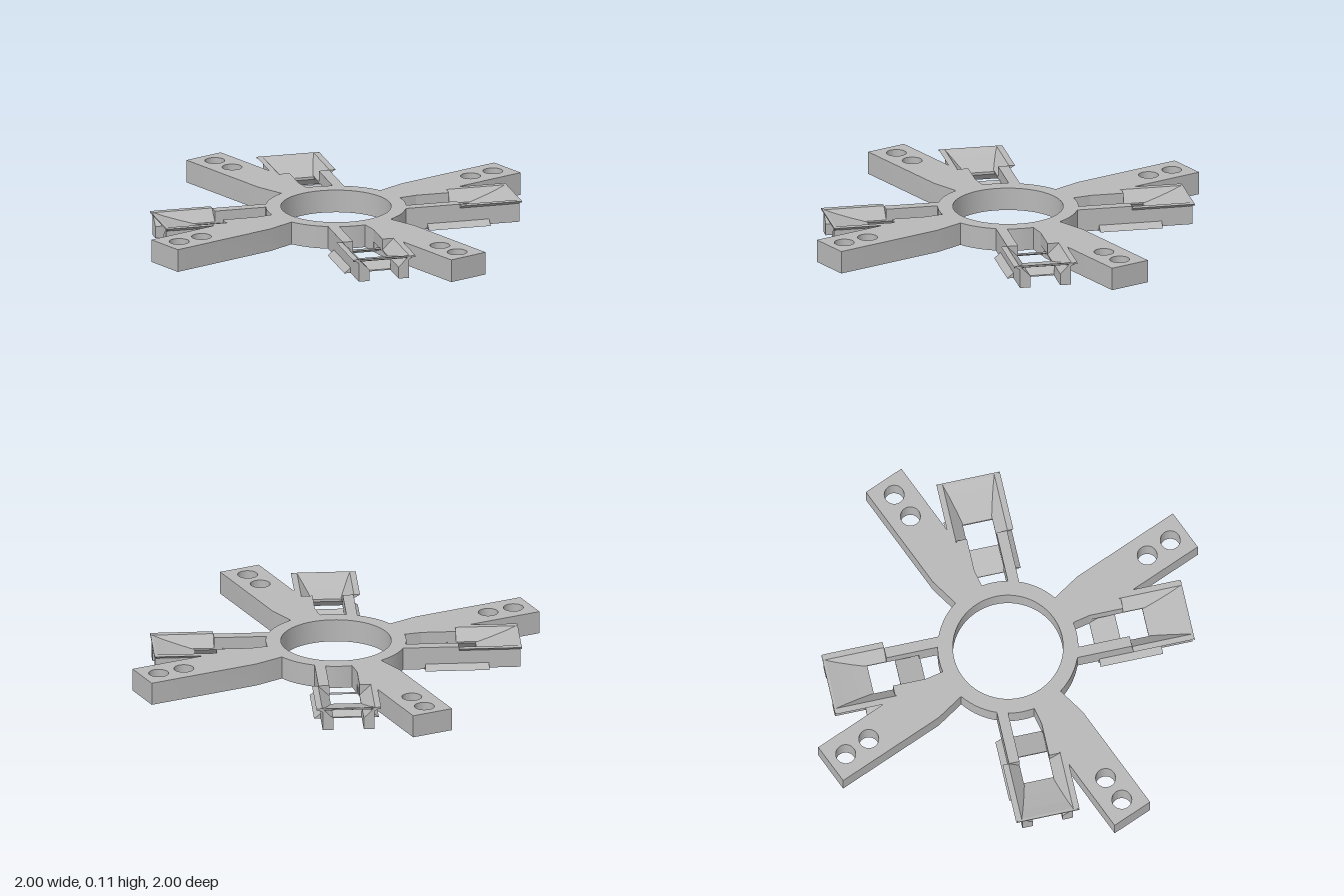
import * as THREE from 'three';
import { toCreasedNormals } from 'three/addons/utils/BufferGeometryUtils.js';

const H = 0.107;

// Upright plate from a flat shape
function plate(shape) {
  const g = new THREE.ExtrudeGeometry(shape, { depth: H, bevelEnabled: false, curveSegments: 40 });
  g.rotateX(-Math.PI / 2);
  return toCreasedNormals(g, 0.5);
}

// Solid through cross-sections { u, pts: [[v, y], ...] } along x, with capped ends
function loft(sections) {
  const pos = [];
  const put = (s, p) => pos.push(s.u, p[1], p[0]);
  for (let k = 0; k + 1 < sections.length; k++) {
    const s = sections[k], t = sections[k + 1], n = s.pts.length;
    for (let i = 0; i < n; i++) {
      const j = (i + 1) % n;
      put(s, s.pts[i]); put(s, s.pts[j]); put(t, t.pts[j]);
      put(s, s.pts[i]); put(t, t.pts[j]); put(t, t.pts[i]);
    }
  }
  const cap = (s, wantPositive) => {
    const contour = s.pts.map(p => new THREE.Vector2(p[0], p[1]));
    for (const [a, b, c] of THREE.ShapeUtils.triangulateShape(contour, [])) {
      const positive = THREE.ShapeUtils.area([contour[a], contour[b], contour[c]]) > 0;
      const order = positive === wantPositive ? [a, b, c] : [a, c, b];
      order.forEach(i => put(s, s.pts[i]));
    }
  };
  cap(sections[0], true);
  cap(sections[sections.length - 1], false);
  const g = new THREE.BufferGeometry();
  g.setAttribute('position', new THREE.Float32BufferAttribute(pos, 3));
  g.computeVertexNormals();
  return g;
}

// Rail cross-section; the top and bottom flare outward where the funnels open
function railSection(u, top, bottom, side) {
  const pts = [
    [0.07, 0.055],
    [top ? 0.122 : 0.07, H],
    [top ? 0.15 : 0.12, H],
    [0.12, 0.088],
    [0.12, 0.025],
    [bottom ? 0.15 : 0.12, 0],
    [bottom ? 0.13 : 0.07, 0],
    [0.07, 0.048],
  ];
  return { u, pts: side > 0 ? pts : pts.map(([v, y]) => [-v, y]).reverse() };
}

function rail(side) {
  return loft([
    [0.29, 0, 0], [0.405, 0, 0], [0.405, 0, 1], [0.56, 0, 1], [0.56, 1, 1],
    [0.7, 1, 1], [0.7, 1, 0], [0.845, 1, 0],
  ].map(([u, top, bottom]) => railSection(u, top, bottom, side)));
}

// Sloping plate through rows of [u, half width, underside, upper side]
function ramp(rows) {
  return loft(rows.map(([u, w, y0, y1]) => ({ u, pts: [[-w, y0], [-w, y1], [w, y1], [w, y0]] })));
}

export function createModel() {
  const grey = new THREE.MeshStandardMaterial({ color: 0xb8b8b8 });
  grey.name = 'grey';
  const model = new THREE.Group();
  model.name = 'hub';
  const add = (parent, geometry, name) => {
    const mesh = new THREE.Mesh(geometry, grey);
    mesh.name = name;
    parent.add(mesh);
  };

  // Central ring
  const ringShape = new THREE.Shape().absarc(0, 0, 0.325, 0, Math.PI * 2);
  ringShape.holes.push(new THREE.Path().absarc(0, 0, 0.255, 0, Math.PI * 2, true));
  add(model, plate(ringShape), 'ring');

  // Tapered arm with two bolt holes
  const armShape = new THREE.Shape([
    [0.29, -0.07], [0.32, -0.075], [0.46, -0.1], [1, -0.1],
    [1, 0.1], [0.46, 0.1], [0.32, 0.075], [0.29, 0.07],
  ].map(p => new THREE.Vector2(...p)));
  for (const x of [0.785, 0.915]) {
    armShape.holes.push(new THREE.Path().absarc(x, 0, 0.046, 0, Math.PI * 2, true));
  }
  const armGeometry = plate(armShape);

  // Funnel bracket pieces
  const rails = [rail(1), rail(-1)];
  const upperRamp = ramp([
    [0.65, 0.07, 0.04, 0.052], [0.72, 0.092, 0.058, 0.07],
    [0.79, 0.113, 0.079, 0.09], [0.838, 0.13, 0.095, 0.106], [0.85, 0.15, 0.1, H],
  ]);
  const innerRamp = ramp([[0.4, 0.13, 0, 0.006], [0.52, 0.072, 0.046, 0.055]]);
  const outerRamp = ramp([[0.65, 0.072, 0.04, 0.052], [0.7, 0.13, 0, 0.006]]);

  for (let i = 0; i < 4; i++) {
    const quarter = new THREE.Group();
    quarter.name = 'quarter';
    quarter.rotation.y = i * Math.PI / 2;
    add(quarter, armGeometry, 'arm');

    const bracket = new THREE.Group();
    bracket.name = 'funnelBracket';
    bracket.rotation.y = -Math.PI / 8;
    rails.forEach(g => add(bracket, g, 'rail'));
    add(bracket, upperRamp, 'upperRamp');
    add(bracket, innerRamp, 'lowerInnerRamp');
    add(bracket, outerRamp, 'lowerOuterRamp');
    quarter.add(bracket);
    model.add(quarter);
  }
  return model;
}
